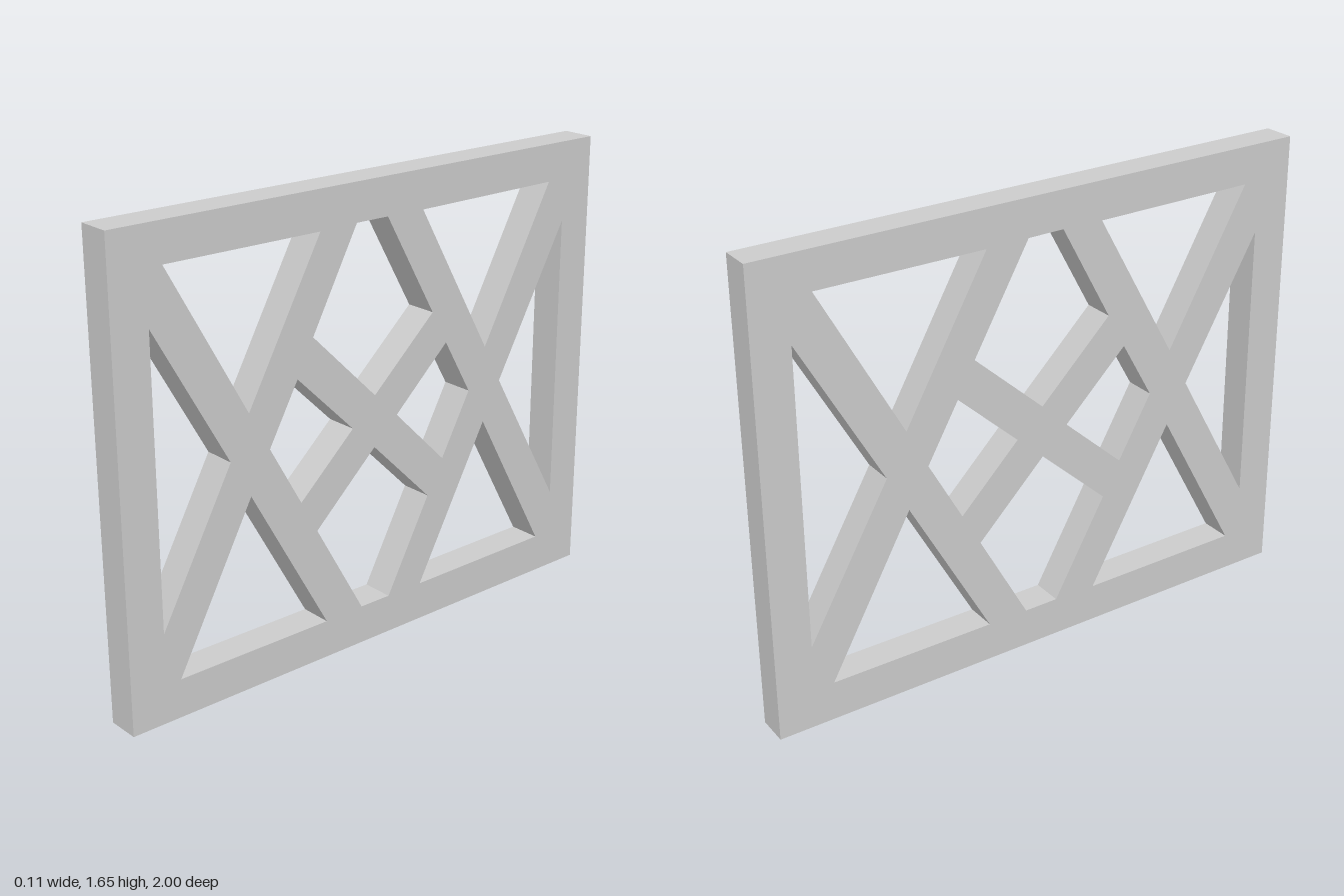
import * as THREE from 'three';

const toPoints = (list) => list.map(([u, y]) => new THREE.Vector2(u, y));

export function createModel() {
  const group = new THREE.Group();
  group.name = 'latticePanel';
  const thickness = 0.113;

  // Slightly skewed outer frame, drawn in the side plane (u runs towards the back)
  const panel = new THREE.Shape(toPoints([[-1, 0.04], [1, 0], [1, 1.612], [-1, 1.648]]));

  // Openings between the crossing braces
  const openings = [
    // front end: side, top and bottom triangles
    [[-0.87, 1.335], [-0.595, 0.843], [-0.87, 0.35]],
    [[-0.814, 1.514], [-0.228, 1.501], [-0.52, 0.984]],
    [[-0.814, 0.171], [-0.217, 0.158], [-0.52, 0.706]],
    // back end: side, top and bottom triangles
    [[0.87, 1.335], [0.87, 0.302], [0.578, 0.816]],
    [[0.203, 1.493], [0.795, 1.485], [0.503, 0.958]],
    [[0.209, 0.152], [0.8, 0.142], [0.503, 0.682]],
    // centre: upper and lower pentagons
    [[-0.08, 1.501], [0.05, 1.498], [0.252, 1.137], [-0.003, 0.91], [-0.262, 1.169]],
    [[-0.005, 0.728], [0.241, 0.479], [0.062, 0.155], [-0.062, 0.158], [-0.254, 0.503]],
    // centre: diamonds on each side of the small cross
    [[-0.327, 1.046], [-0.099, 0.819], [-0.319, 0.623], [-0.442, 0.843]],
    [[0.316, 1.017], [0.429, 0.816], [0.308, 0.599], [0.094, 0.816]],
  ];
  for (const corners of openings) panel.holes.push(new THREE.Path(toPoints(corners)));

  const geometry = new THREE.ExtrudeGeometry(panel, { depth: thickness, bevelEnabled: false });
  geometry.translate(0, 0, -thickness / 2);
  geometry.rotateY(Math.PI / 2);

  const mesh = new THREE.Mesh(
    geometry,
    new THREE.MeshStandardMaterial({ color: 0xcccccc, flatShading: true })
  );
  mesh.name = 'bracedFrame';
  group.add(mesh);
  return group;
}
